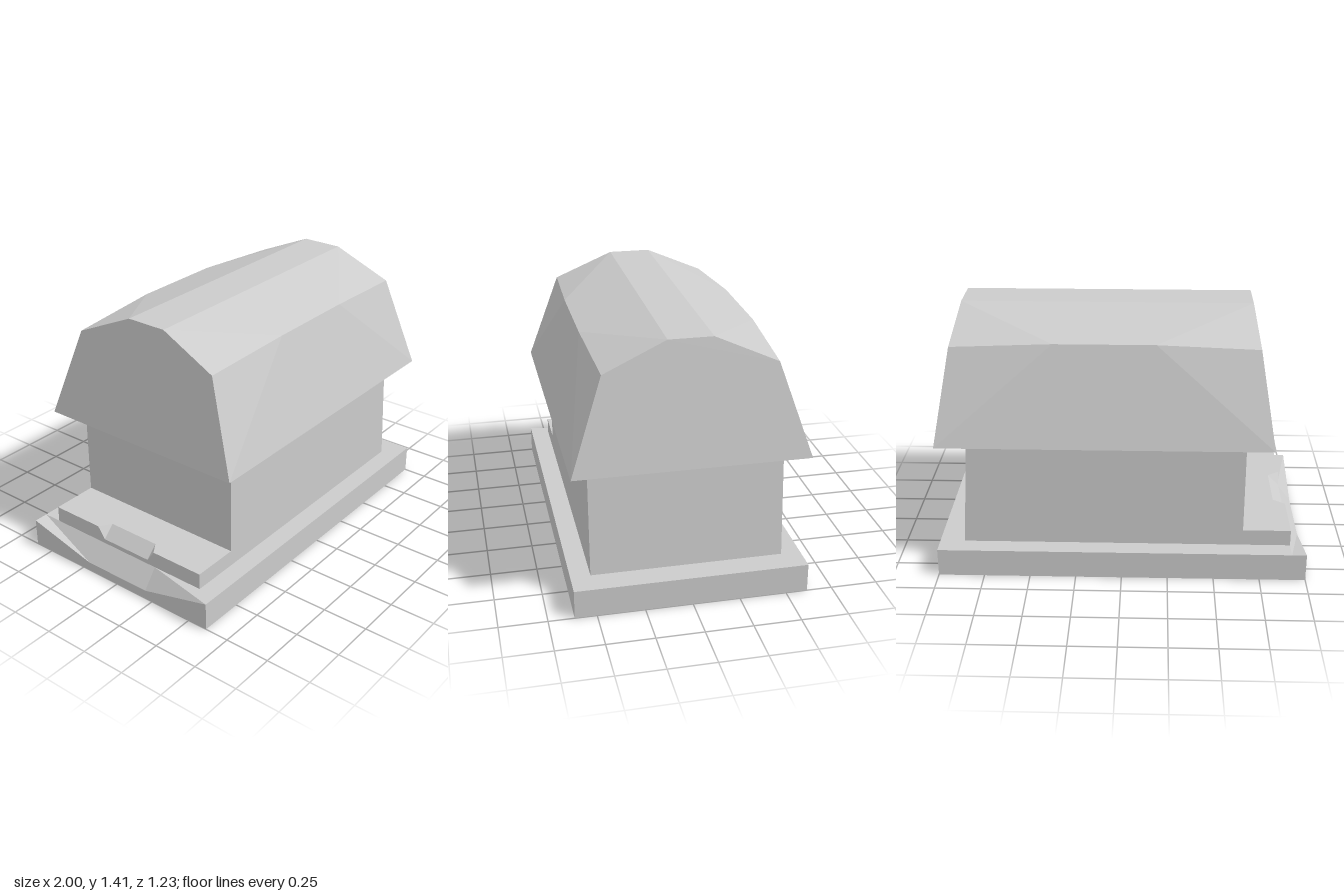
import * as THREE from 'three';
import { ConvexGeometry } from 'three/addons/geometries/ConvexGeometry.js';

const material = new THREE.MeshStandardMaterial({ color: 0xcccccc, flatShading: true });

function addPart(group, name, geometry) {
  const mesh = new THREE.Mesh(geometry, material);
  mesh.name = name;
  group.add(mesh);
}

// Moves every vertex of a geometry by a rule and makes the faces flat
function reshape(geometry, rule) {
  const pos = geometry.attributes.position;
  const v = new THREE.Vector3();
  for (let i = 0; i < pos.count; i++) {
    v.fromBufferAttribute(pos, i);
    rule(v);
    pos.setXYZ(i, v.x, v.y, v.z);
  }
  const flat = geometry.toNonIndexed();
  flat.computeVertexNormals();
  return flat;
}

// Slab whose top dips towards the middle of the entrance edge
function baseGeometry() {
  const height = 0.155;
  return reshape(new THREE.BoxGeometry(2, height, 1.23, 2, 1, 3), (v) => {
    v.y += height / 2;
    if (Math.abs(v.x) < 0.01) v.x = -0.92;
    if (v.x < -0.99 && v.y > 0.1 && Math.abs(v.z) < 0.3) v.y = 0.05;
  });
}

// Entrance step with a small sloping notch cut into its outer edge
function stepGeometry() {
  const zs = [-0.51, -0.2, -0.155, 0.155, 0.2, 0.51];
  const xs = [-0.92, -0.855, -0.66];
  return reshape(new THREE.BoxGeometry(2, 2, 5, 2, 1, 5), (v) => {
    const col = Math.round(v.x + 1);
    const row = Math.round(v.z + 2.5);
    const top = v.y > 0;
    v.set(xs[col], top ? 0.245 : 0.155, zs[row]);
    if (!top) return;
    if (col === 0 && (row === 2 || row === 3)) v.y = 0.18;
    if (col === 1 && (row === 1 || row === 4)) v.x = xs[0];
  });
}

// Walls, with the far end leaning inwards
function wallGeometry() {
  return reshape(new THREE.BoxGeometry(1.525, 0.615, 1.02), (v) => {
    v.x += 0.1025;
    v.y += 0.4625;
    if (v.x > 0 && v.y > 0.5) v.x = 0.825;
  });
}

// Gambrel roof: cross-sections that bulge in the middle, between sloping ends
function roofGeometry() {
  const endSection = [[0.61, 0.765], [0.44, 1.265], [0.115, 1.41]];
  const midSection = [[0.487, 1.12], [0.465, 1.295]];
  const points = [];
  for (let i = 0; i <= 3; i++) {
    for (const [z, y] of i % 3 === 0 ? endSection : midSection) {
      const inset = ((y - 0.765) / 0.645) * 0.105;
      const x = THREE.MathUtils.lerp(-0.8 + inset, 0.98 - inset, i / 3);
      points.push(new THREE.Vector3(x, y, z), new THREE.Vector3(x, y, -z));
    }
  }
  return new ConvexGeometry(points);
}

export function createModel() {
  const group = new THREE.Group();
  group.name = 'smallHouse';
  addPart(group, 'base', baseGeometry());
  addPart(group, 'entranceStep', stepGeometry());
  addPart(group, 'walls', wallGeometry());
  addPart(group, 'roof', roofGeometry());
  return group;
}
